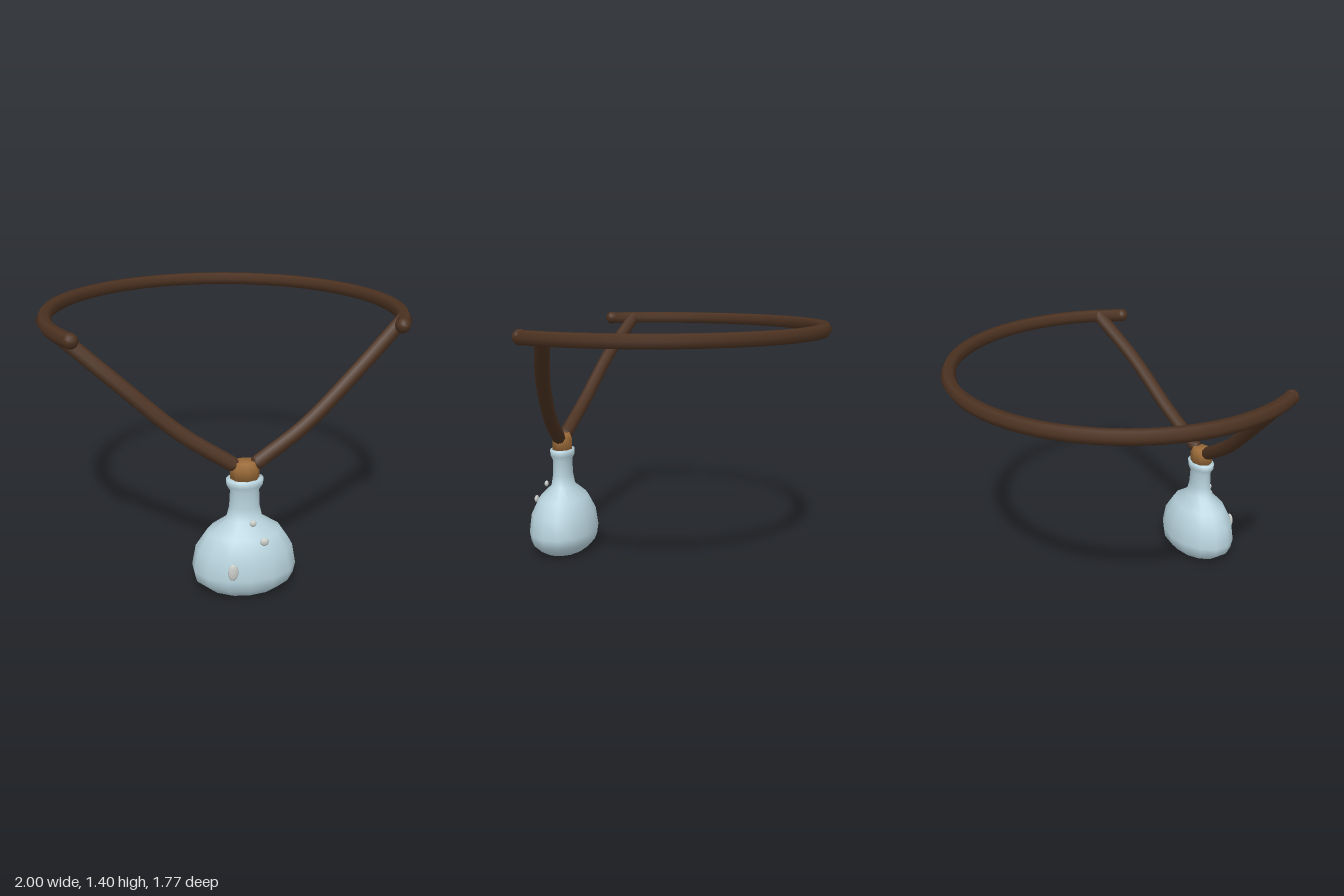
import * as THREE from 'three';

const mat = (name, color) => {
  const m = new THREE.MeshStandardMaterial({ color });
  m.name = name;
  return m;
};

export function createModel() {
  const group = new THREE.Group();
  const leather = mat('dark leather', 0x4c3221);
  const glass = mat('pale blue glass', 0xb8d3dd);
  const cork = mat('cork', 0x9a6a38);
  const bubble = mat('bubble', 0xc9cdc8);
  const BZ = 0.68, CORD = 0.04, Y = 1.36;

  const add = (name, geo, material, parent = group) => {
    const m = new THREE.Mesh(geo, material);
    m.name = name;
    parent.add(m);
    return m;
  };
  const ball = (name, pos, r = CORD) =>
    add(name, new THREE.SphereGeometry(r, 10, 8), leather).position.set(...pos);
  const lathe = (name, pts, sides, material, squash) => {
    const m = add(name, new THREE.LatheGeometry(pts.map(p => new THREE.Vector2(...p)), sides), material);
    m.position.z = BZ;
    m.scale.z = squash;
    return m;
  };

  // Neck ring, open at the front, with rounded ends
  const R = 0.96, cz = 0.11, open = Math.asin(0.48 / R);
  const ringGeo = new THREE.TorusGeometry(R, CORD, 6, 48, Math.PI + 2 * open);
  ringGeo.rotateZ(-open);
  ringGeo.rotateX(-Math.PI / 2);
  add('neckCord', ringGeo, leather).position.set(0, Y, cz);

  // Hanging cords from the ring down to the stopper
  for (const s of [1, -1]) {
    const side = s > 0 ? 'left' : 'right';
    ball(side + 'CordTip', [s * R * Math.cos(open), Y, cz + 0.48]);
    const path = [[0.89, 1.36, 0.455], [0.62, 1.13, 0.56], [0.32, 0.87, 0.635], [0.065, 0.705, 0.678]]
      .map(([x, y, z]) => new THREE.Vector3(s * x, y, z));
    add(side + 'HangingCord', new THREE.TubeGeometry(new THREE.CatmullRomCurve3(path), 14, CORD, 8), leather);
    ball(side + 'HangingCordTop', path[0].toArray(), 0.036);
    ball(side + 'HangingCordEnd', path[3].toArray(), 0.036);
  }

  // Flattened flask with a lipped neck
  lathe('flask', [
    [0, 0.005], [0.17, 0.003], [0.205, 0.02], [0.265, 0.07], [0.277, 0.13], [0.257, 0.24], [0.195, 0.335],
    [0.095, 0.405], [0.08, 0.47], [0.076, 0.56], [0.095, 0.59], [0.098, 0.625], [0.06, 0.627], [0, 0.627],
  ], 14, glass, 0.72);

  // Stopper
  lathe('stopper', [[0, 0.61], [0.076, 0.61], [0.078, 0.68], [0.06, 0.718], [0, 0.718]], 8, cork, 0.78);

  // Bubbles on the front of the flask
  [[-0.095, 0.19, 0.868, 0.027, 0.047], [0.075, 0.325, 0.825, 0.023, 0.022], [0.025, 0.41, 0.778, 0.018, 0.018]]
    .forEach(([x, y, z, rx, ry], i) => {
      const b = add('bubble' + (i + 1), new THREE.SphereGeometry(1, 12, 8), bubble);
      b.position.set(x, y, z);
      b.scale.set(rx, ry, 0.012);
    });

  return group;
}
